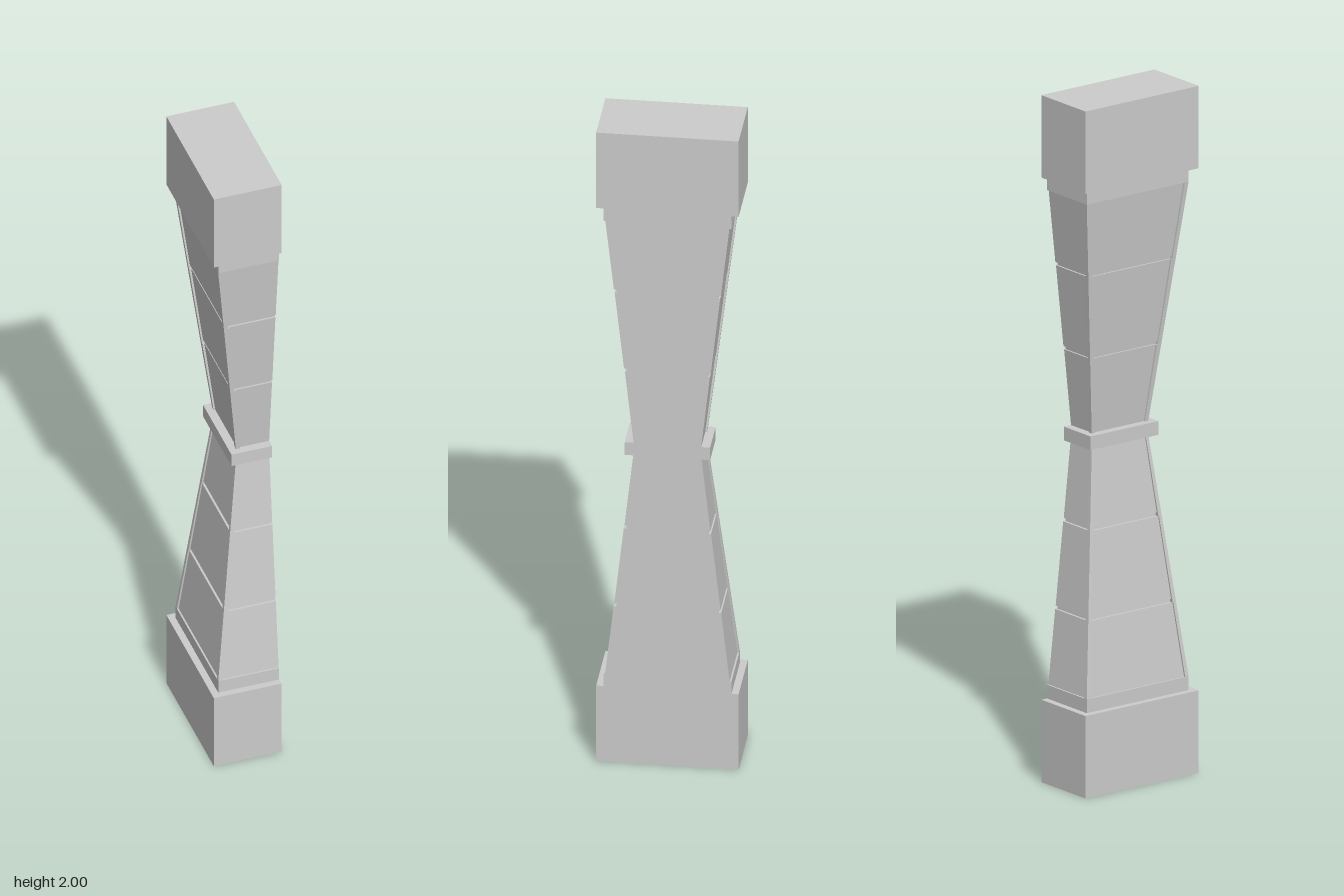
import * as THREE from 'three';

const FLAT_X = 0.1; // the flat cut side of the half pillar
const POST = 0.012; // width of the corner posts

const material = new THREE.MeshStandardMaterial({ color: 0xcccccc, flatShading: true });

// Half-square plan, w = half width; the faces between the corner posts are set back by inset.
function plan(w, inset) {
  const a = w - inset, m = w - POST;
  const half = inset > 0
    ? [[0, a], [-m, a], [-m, w], [-w, w], [-w, m], [-a, m]]
    : [[0, w], [-w, w]];
  const mirrored = half.map(([x, y]) => [x, -y]).reverse();
  return new THREE.Shape([...half, ...mirrored].map(([x, y]) => new THREE.Vector2(x, y)));
}

// One course of the pillar, tapering from half width w0 at y0 to w1 at y1.
function course(name, y0, y1, w0, w1, inset = 0) {
  const h = y1 - y0;
  const geo = new THREE.ExtrudeGeometry(plan(w0, inset), { depth: h, bevelEnabled: false });
  geo.rotateX(-Math.PI / 2);
  const p = geo.attributes.position;
  for (let i = 0; i < p.count; i++) {
    const s = 1 + (w1 / w0 - 1) * (p.getY(i) / h);
    p.setXYZ(i, p.getX(i) * s + FLAT_X, p.getY(i) + y0, p.getZ(i) * s);
  }
  geo.computeVertexNormals();
  const mesh = new THREE.Mesh(geo, material);
  mesh.name = name;
  return mesh;
}

export function createModel() {
  const pillar = new THREE.Group();
  pillar.name = 'halfPillar';

  // Tapered shaft: three panels per half, split by thin deeper joints
  const cuts = [0.28, 0.495, 0.505, 0.745, 0.755, 0.98];
  const width = (y) => 0.18 - (0.08 * (y - 0.28)) / 0.7;

  for (const upper of [false, true]) {
    const side = upper ? 'upper' : 'lower';
    const add = (part, y0, y1, w0, w1, inset) => pillar.add(upper
      ? course(side + part, 2 - y1, 2 - y0, w1, w0, inset)
      : course(side + part, y0, y1, w0, w1, inset));

    add('Block', 0, 0.24, 0.2, 0.2);
    add('Band', 0.24, 0.28, 0.18, 0.18);
    for (let i = 0; i < cuts.length - 1; i++) {
      const joint = i % 2 === 1;
      add(joint ? 'Joint' : 'Panel', cuts[i], cuts[i + 1],
        width(cuts[i]), width(cuts[i + 1]), joint ? 0.0115 : 0.005);
    }
  }

  // Collar around the waist
  pillar.add(course('waistCollar', 0.98, 1.02, 0.12, 0.12));
  return pillar;
}
